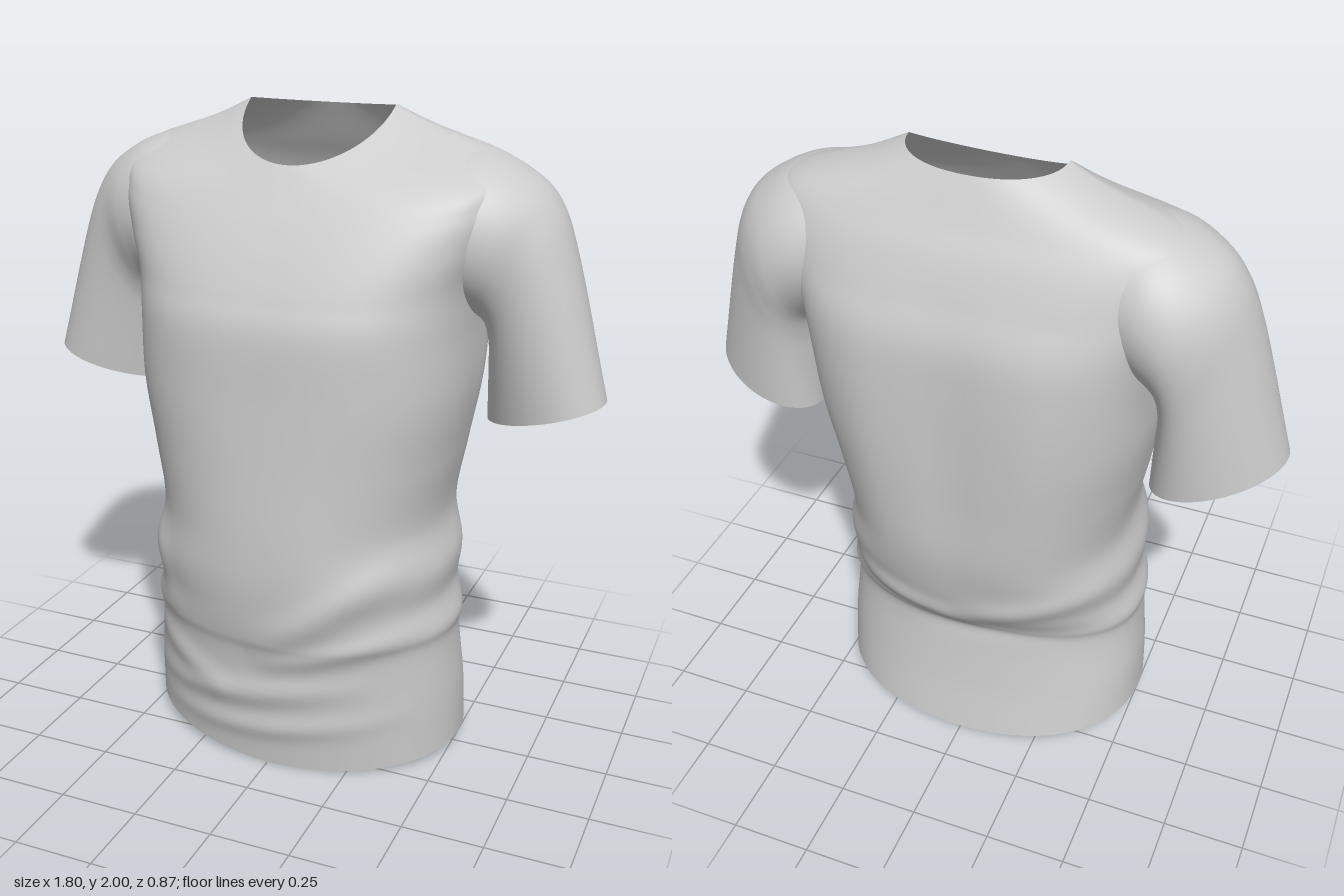
import * as THREE from 'three';

const material = new THREE.MeshStandardMaterial({ color: 0xcccccc, side: THREE.DoubleSide });

// Smooth interpolation through the rows of a table, u from 0 to 1
function rowSpline(rows) {
  const times = rows.map((_, i) => i);
  const spline = new THREE.CubicInterpolant(times, rows.flat(), rows[0].length);
  return u => spline.evaluate(u * (rows.length - 1));
}

// Skin of closed rings; skip(point) leaves openings
function loft(name, spline, place, rings, sides, skip) {
  const pos = [], index = [];
  for (let j = 0; j <= rings; j++) {
    const row = spline(j / rings);
    for (let i = 0; i < sides; i++) pos.push(...place(row, i / sides * Math.PI * 2));
  }
  for (let j = 0; j < rings; j++) for (let i = 0; i < sides; i++) {
    const a = j * sides + i, b = j * sides + (i + 1) % sides, c = a + sides, d = b + sides;
    if (skip && skip(pos[a * 3], pos[a * 3 + 1], pos[a * 3 + 2])) continue;
    index.push(a, c, b, b, c, d);
  }
  const geo = new THREE.BufferGeometry();
  geo.setAttribute('position', new THREE.Float32BufferAttribute(pos, 3));
  geo.setIndex(index);
  geo.computeVertexNormals();
  const mesh = new THREE.Mesh(geo, material);
  mesh.name = name;
  return mesh;
}

const power = (v, n) => Math.sign(v) * Math.abs(v) ** (2 / n);

// Cloth folds: x0, y0, x1, y1, width, height
const frontFolds = [
  [-0.05, 0.4, 0.48, 0.76, 0.06, 0.022], [-0.05, 0.36, 0.5, 0.5, 0.04, 0.016],
  [-0.5, 0.19, 0.35, 0.32, 0.04, 0.016], [-0.45, 0.09, 0.45, 0.2, 0.035, 0.012],
  [-0.5, 0.38, -0.1, 0.25, 0.04, 0.014], [-0.46, 0.85, -0.34, 0.45, 0.05, 0.016],
];
const backFolds = [
  [-0.5, 0.68, 0.1, 0.49, 0.05, 0.018], [-0.1, 0.47, 0.5, 0.57, 0.045, 0.016],
  [-0.5, 0.48, 0.2, 0.41, 0.045, -0.01], [-0.25, 0.6, -0.27, 1.65, 0.1, 0.012],
  [0.25, 0.6, 0.27, 1.65, 0.1, 0.012], [0, 0.6, 0, 1.75, 0.09, -0.012],
];
function foldHeight(x, y, folds) {
  let sum = 0;
  for (const [x0, y0, x1, y1, w, h] of folds) {
    const dx = x1 - x0, dy = y1 - y0;
    const k = THREE.MathUtils.clamp(((x - x0) * dx + (y - y0) * dy) / (dx * dx + dy * dy), 0, 1);
    const d = Math.hypot(x - x0 - k * dx, y - y0 - k * dy);
    sum += h * Math.sin(Math.PI * k) * Math.exp(-((d / w) ** 2));
  }
  return sum;
}

// Lower torso, level rings: y, half width, ridge z, front z, back z, roundness
const bodyRows = [
  [0.02, 0.515, -0.01, 0.35, -0.37, 2.1],
  [0.2, 0.51, -0.01, 0.37, -0.335, 2.1],
  [0.39, 0.493, 0, 0.388, -0.312, 2.1],
  [0.46, 0.5, 0, 0.405, -0.33, 2.1],
  [0.55, 0.475, 0, 0.42, -0.365, 2.15],
  [0.66, 0.482, 0, 0.43, -0.395, 2.2],
  [0.8, 0.45, -0.01, 0.43, -0.42, 2.25],
  [1.0, 0.48, -0.02, 0.42, -0.43, 2.35],
  [1.2, 0.51, -0.04, 0.41, -0.435, 2.55],
  [1.4, 0.515, -0.08, 0.4, -0.435, 2.75],
].map(([y, ...rest]) => [y, y, y, ...rest]);

// Yoke, rings that rise at the shoulders: side y, front y, back y, then as above
const yokeRows = [
  [1.54, 1.5, 1.55, 0.53, -0.1, 0.37, -0.425, 2.8],
  [1.67, 1.6, 1.67, 0.57, -0.1, 0.325, -0.385, 2.8],
  [1.79, 1.69, 1.78, 0.6, -0.1, 0.275, -0.34, 2.7],
  [1.865, 1.76, 1.86, 0.57, -0.1, 0.23, -0.295, 2.55],
  [1.945, 1.82, 1.94, 0.35, -0.095, 0.19, -0.252, 2.2],
  [2.0, 1.85, 1.98, 0.23, -0.09, 0.168, -0.23, 2.0],
];
function placeTorso([ys, yf, yb, xs, zc, zf, zb, n], t) {
  const c = Math.cos(t), s = Math.sin(t), front = s >= 0, w = Math.abs(s);
  const y = THREE.MathUtils.lerp(ys, front ? yf : yb, w);
  const m = front ? n : n * 1.1;
  const x = xs * power(c, m);
  const fold = foldHeight(x, y, front ? frontFolds : backFolds) * Math.min(1, w * 2);
  const z = zc + ((front ? zf : zb) - zc) * Math.abs(power(s, m)) + Math.sign(s) * fold;
  // the hem dips at front and back and hangs a little higher on the right
  const hem = Math.max(0, 1 - y / 0.3) * (0.015 - 0.035 * w * w + Math.max(0, -x) * 0.06);
  return [x, y + hem, z];
}

// Sleeve rings: top x, top y, top z, bottom x, bottom y, bottom z, half depth
const sleeveRows = [
  [0.4, 1.9, -0.1, 0.4, 1.45, -0.08, 0.22],
  [0.52, 1.885, -0.1, 0.475, 1.43, -0.09, 0.243],
  [0.625, 1.84, -0.1, 0.53, 1.39, -0.115, 0.232],
  [0.715, 1.762, -0.1, 0.54, 1.32, -0.13, 0.205],
  [0.785, 1.6, -0.085, 0.535, 1.24, -0.14, 0.185],
  [0.9, 1.19, -0.06, 0.53, 1.08, -0.155, 0.163],
];
const placeSleeve = side => ([tx, ty, tz, bx, by, bz, r], t) => {
  const k = 0.5 - 0.5 * Math.cos(t), mix = THREE.MathUtils.lerp;
  return [side * mix(tx, bx, k), mix(ty, by, k), mix(tz, bz, k) - side * r * Math.sin(t)];
};

export function createModel() {
  const shirt = new THREE.Group();
  shirt.name = 'shirt';
  // Torso, open at hem, neck and armholes
  const armhole = (x, y, z) => Math.abs(x) > 0.49 && ((y - 1.64) / 0.16) ** 2 + ((z + 0.1) / 0.15) ** 2 < 1;
  shirt.add(loft('torso', rowSpline([...bodyRows, ...yokeRows]), placeTorso, 150, 160, armhole));
  // Sleeves, open at the cuffs
  for (const side of [1, -1]) {
    shirt.add(loft(side > 0 ? 'leftSleeve' : 'rightSleeve', rowSpline(sleeveRows), placeSleeve(side), 40, 64));
  }
  return shirt;
}
